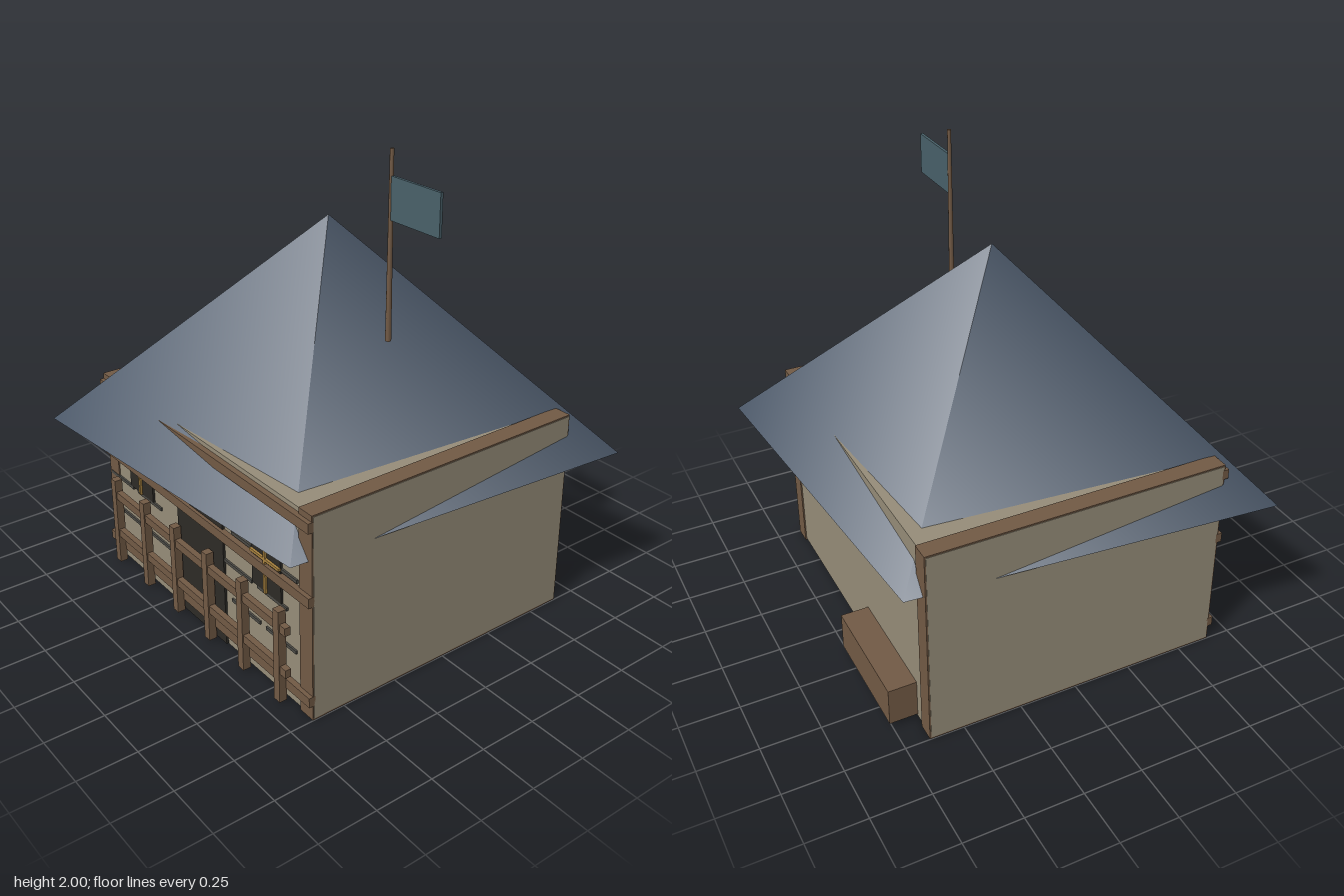
import * as THREE from 'three';

const mat = (color) => new THREE.MeshStandardMaterial({ color });

export function createModel() {
  const hut = new THREE.Group();
  hut.name = 'hut';

  const plaster = mat(0x968d79);
  const wood = mat(0x725a45);
  const dark = mat(0x2d2b26);
  const iron = mat(0x4b4a45);
  const gold = mat(0xa8823f);
  const slate = mat(0x4d5a6b);
  const cloth = mat(0x49616a);

  // Box given by its lower and upper limits on each axis
  const box = (name, material, [x0, x1], [y0, y1], [z0, z1], parent = hut) => {
    const mesh = new THREE.Mesh(new THREE.BoxGeometry(x1 - x0, y1 - y0, z1 - z0), material);
    mesh.position.set((x0 + x1) / 2, (y0 + y1) / 2, (z0 + z1) / 2);
    mesh.name = name;
    parent.add(mesh);
    return mesh;
  };

  // Walls and the end frames that show at the corners
  box('walls', plaster, [-0.75, 0.75], [0.01, 0.88], [-0.64, 0.64]);
  for (const s of [-1, 1]) {
    const x = s * 0.709;
    box('endFrame', wood, [x - 0.039, x + 0.039], [0.002, 0.886], [-0.646, 0.646]);
  }

  // Four-sided roof, longer along one diagonal
  const roof = new THREE.Mesh(new THREE.ConeGeometry(1, 0.97, 4), slate);
  roof.name = 'roof';
  roof.scale.set(1.2, 1, 1.02);
  roof.rotation.y = Math.PI / 4;
  roof.position.y = 0.69 + 0.485;
  hut.add(roof);

  // Horizontal beams across the front
  for (const y of [0.09, 0.53, 0.84]) {
    box('frontBeam', wood, [-0.75, 0.75], [y - 0.021, y + 0.021], [0.636, 0.664]);
  }

  // Door
  box('door', dark, [-0.17, 0.17], [0.012, 0.65], [0.63, 0.65]);

  // Windows with crossed glazing bars
  for (const s of [-1, 1]) {
    const x = s * 0.465;
    const win = new THREE.Group();
    win.name = 'window';
    hut.add(win);
    box('windowPane', dark, [x - 0.094, x + 0.094], [0.42, 0.72], [0.63, 0.65], win);
    box('verticalBar', gold, [x - 0.006, x + 0.006], [0.42, 0.72], [0.645, 0.66], win);
    box('horizontalBar', gold, [x - 0.094, x + 0.094], [0.564, 0.576], [0.645, 0.66], win);
  }

  // Short dark courses set into the front wall
  const courses = [
    [0.25, [-0.565, -0.345, 0.315, 0.55]],
    [0.412, [-0.64, -0.41, 0.265, 0.495]],
    [0.567, [-0.575, -0.345, 0.325, 0.56]],
  ];
  for (const [y, centres] of courses) {
    for (const x of centres) {
      box('wallCourse', iron, [x - 0.097, x + 0.097], [y - 0.007, y + 0.007], [0.635, 0.648]);
    }
  }

  // Fence in front of the wall
  const fence = new THREE.Group();
  fence.name = 'fence';
  hut.add(fence);
  for (let i = 0; i < 6; i++) {
    const x = -0.64 + i * 0.245;
    box('picket', wood, [x - 0.018, x + 0.018], [0.015, 0.425], [0.66, 0.695], fence);
  }
  for (const y of [0.163, 0.352]) {
    box('fenceRail', wood, [-0.64, 0.637], [y - 0.018, y + 0.018], [0.664, 0.69], fence);
  }

  // Chest against the back wall
  box('backChest', wood, [-0.62, -0.12], [0.02, 0.187], [-0.76, -0.64]);

  // Flagpole and flag
  const pole = new THREE.Mesh(new THREE.CylinderGeometry(0.008, 0.012, 0.75, 8), wood);
  pole.name = 'flagpole';
  pole.position.set(0.375, 1.625, 0);
  hut.add(pole);
  box('flag', cloth, [0.38, 0.647], [1.732, 1.9], [-0.006, 0.006]);

  return hut;
}
